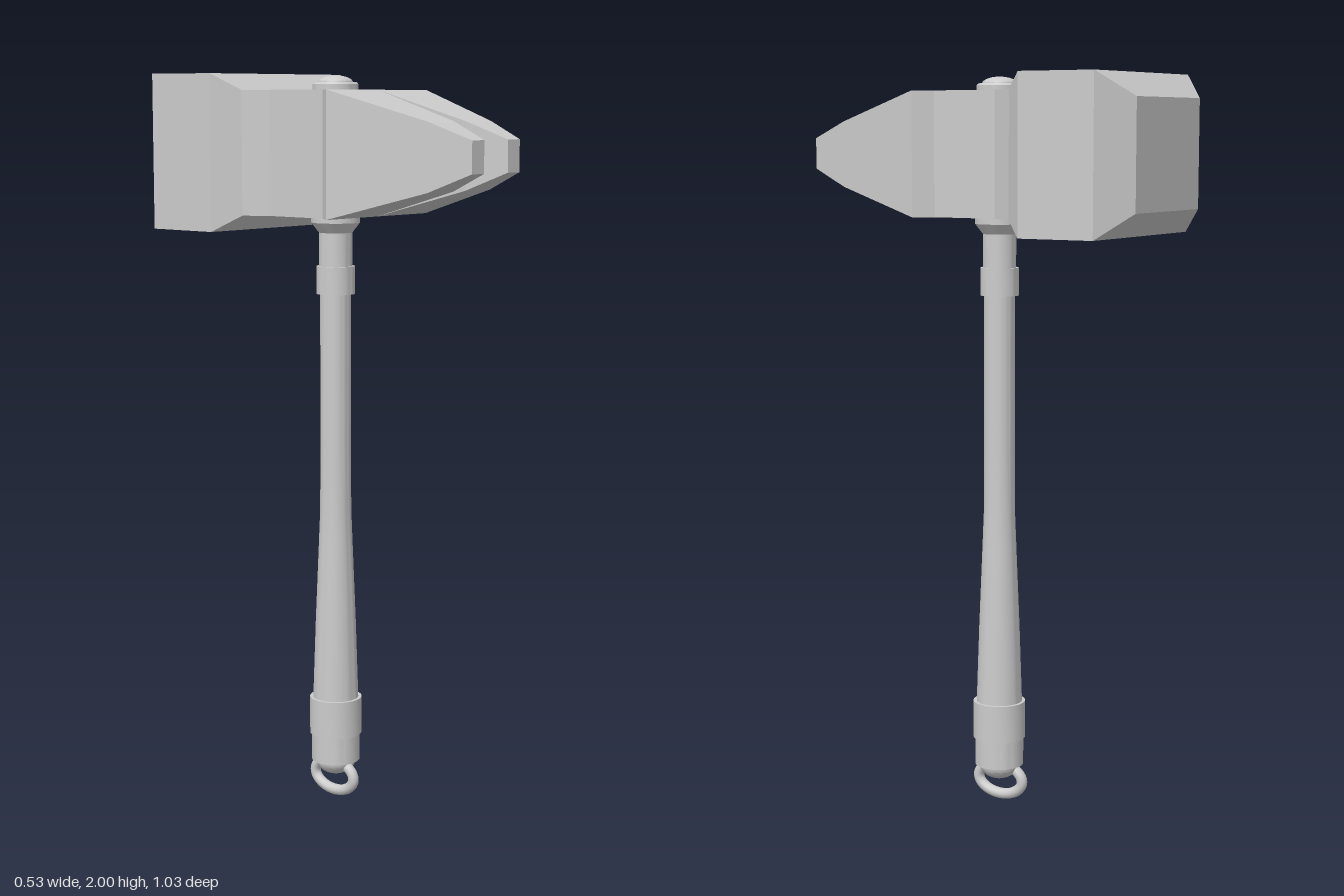
import * as THREE from 'three';
import { toCreasedNormals } from 'three/addons/utils/BufferGeometryUtils.js';

const HANDLE_Z = -0.015;

// Loft through rectangular sections [z, x0, x1, y0, y1], ordered back to front
function loft(sections) {
  const pos = [];
  const rings = sections.map(([z, x0, x1, y0, y1]) =>
    [[x0, y0, z], [x1, y0, z], [x1, y1, z], [x0, y1, z]]);
  const quad = (a, b, c, d) => pos.push(...a, ...b, ...c, ...a, ...c, ...d);
  for (let i = 0; i < rings.length - 1; i++) {
    for (let k = 0; k < 4; k++) {
      const n = (k + 1) % 4;
      quad(rings[i][k], rings[i][n], rings[i + 1][n], rings[i + 1][k]);
    }
  }
  const [a, b, c, d] = rings[0];
  quad(d, c, b, a);
  quad(...rings[rings.length - 1]);
  const geo = new THREE.BufferGeometry();
  geo.setAttribute('position', new THREE.Float32BufferAttribute(pos, 3));
  geo.computeVertexNormals();
  return geo;
}

// Turned part with sharp rims, profile points [radius, y] from bottom to top
function turned(points) {
  const geo = new THREE.LatheGeometry(points.map(([r, y]) => new THREE.Vector2(r, y)), 40);
  return toCreasedNormals(geo, 0.45);
}

// Dome profile, from rim to pole (dir 1 = upward, -1 = downward)
function dome(radius, height, y, dir) {
  const pts = [];
  for (let i = 0; i <= 8; i++) {
    const a = (i / 8) * Math.PI / 2;
    pts.push([i === 8 ? 0 : radius * Math.cos(a), y + dir * height * Math.sin(a)]);
  }
  return pts;
}

export function createModel() {
  const group = new THREE.Group();
  const smooth = new THREE.MeshStandardMaterial({ color: 0xcccccc });
  const flat = new THREE.MeshStandardMaterial({ color: 0xcccccc, flatShading: true });
  const add = (name, geo, mat, z = 0) => {
    const mesh = new THREE.Mesh(geo, mat);
    mesh.name = name;
    mesh.position.z = z;
    group.add(mesh);
    return mesh;
  };

  // Bevelled striking block, narrowed neck and shoulders of the claw
  const body = [
    [-0.515, 0.18, 1.65, 1.937],
    [-0.44, 0.263, 1.585, 2.0],
    [-0.225, 0.263, 1.585, 2.0],
    [-0.165, 0.205, 1.628, 1.957],
    [-0.10, 0.167, 1.628, 1.957],
    [0.085, 0.167, 1.628, 1.957],
    [0.13, 0.205, 1.628, 1.957],
  ];
  add('hammerHead', loft(body.map(([z, w, y0, y1]) => [z, -w, w, y0, y1])), flat);

  // Two tapering claws split by a V-shaped slot
  const claw = [
    [0.13, 0, 0.205, 1.628, 1.957],
    [0.40, 0.024, 0.131, 1.702, 1.878],
    [0.515, 0.05, 0.10, 1.75, 1.833],
  ];
  add('leftClaw', loft(claw), flat);
  add('rightClaw', loft(claw.map(([z, a, b, y0, y1]) => [z, -b, -a, y0, y1])), flat);

  // Shaft, swelling towards the grip
  add('handle', turned([
    [0, 0.25], [0.064, 0.25], [0.063, 0.29], [0.056, 0.5], [0.047, 0.72],
    [0.043, 0.82], [0.042, 1.0], [0.042, 1.45], [0, 1.45],
  ]), smooth, HANDLE_Z);

  // Collar and flared socket below the head
  add('handleCollar', turned([
    [0, 1.415], [0.052, 1.415], [0.052, 1.49], [0, 1.49],
  ]), smooth, HANDLE_Z);
  add('headSocket', turned([
    [0, 1.48], [0.045, 1.48], [0.045, 1.58], [0.066, 1.607], [0.066, 1.64], [0, 1.64],
  ]), smooth, HANDLE_Z);

  // Stepped pommel with a rounded end
  add('pommel', turned([
    ...dome(0.056, 0.042, 0.105, -1).reverse(),
    [0.067, 0.105], [0.067, 0.183], [0.072, 0.183], [0.072, 0.287], [0, 0.287],
  ]), smooth, HANDLE_Z);

  // Washer and domed pin on top of the head
  add('topWasher', turned([
    [0, 1.94], [0.061, 1.94], [0.061, 1.972], [0.057, 1.977], [0, 1.977],
  ]), smooth, HANDLE_Z);
  add('topPin', turned([
    [0, 1.96], [0.047, 1.96], ...dome(0.047, 0.019, 1.976, 1),
  ]), smooth, HANDLE_Z);

  // Oval hanging ring through the pommel
  const ringPoints = Array.from({ length: 24 }, (_, i) => {
    const a = (i / 24) * Math.PI * 2;
    return new THREE.Vector3(-0.006, 0.058 + 0.043 * Math.sin(a), 0.07 * Math.cos(a));
  });
  const ringPath = new THREE.CatmullRomCurve3(ringPoints, true);
  add('hangingRing', new THREE.TubeGeometry(ringPath, 48, 0.015, 12, true), smooth, HANDLE_Z);

  return group;
}
